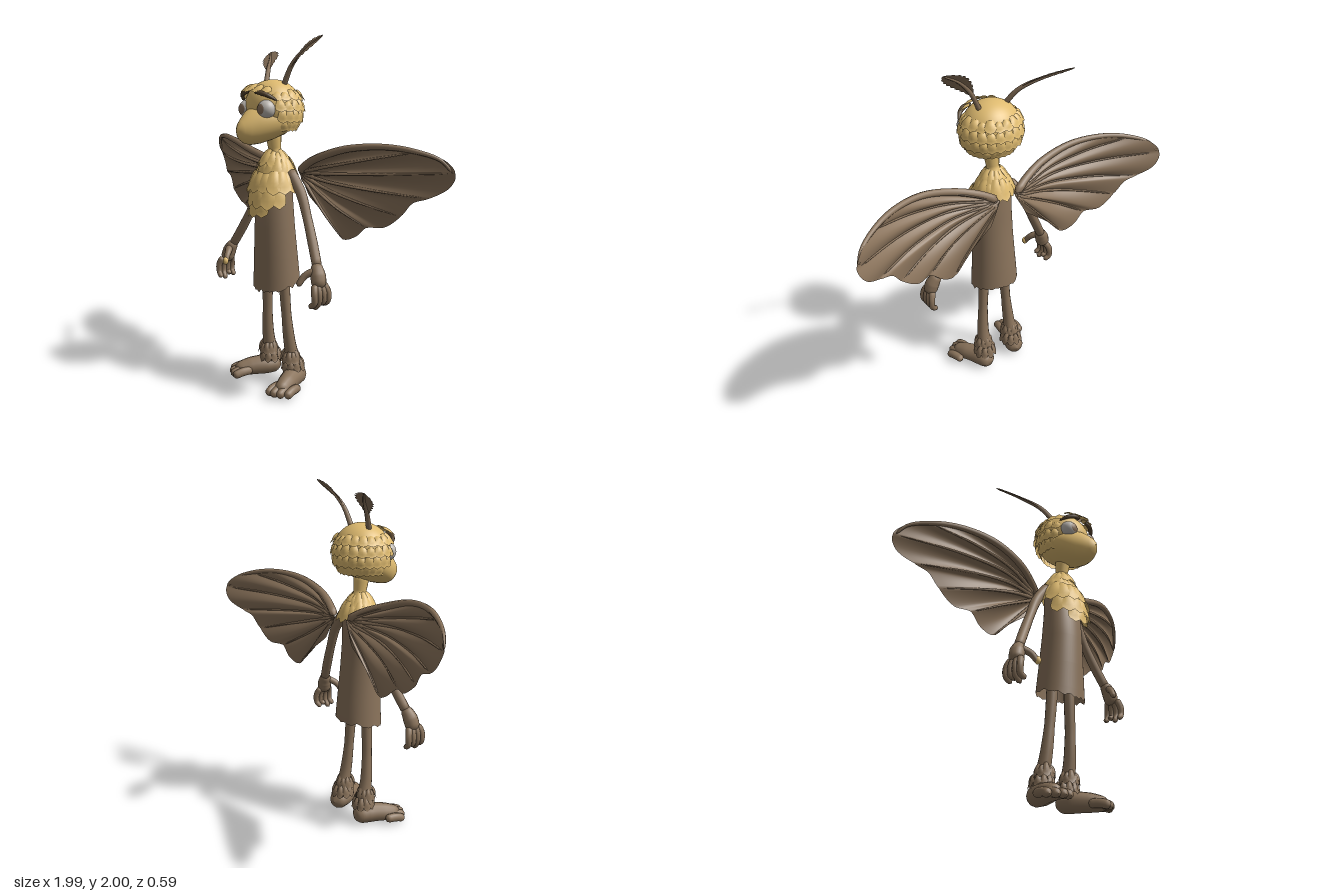
import * as THREE from 'three';
import { mergeGeometries, mergeVertices } from 'three/addons/utils/BufferGeometryUtils.js';

const V = (x, y, z) => new THREE.Vector3(x, y, z);
const mat = (name, color, side = THREE.FrontSide) => {
  const m = new THREE.MeshStandardMaterial({ color, side });
  m.name = name;
  return m;
};
const noise = (i) => { const s = Math.sin(i * 12.9898) * 43758.5453; return s - Math.floor(s); };
const curveOf = (pts) => new THREE.CatmullRomCurve3(pts.map((p) => V(...p)));

function smooth(geo) {
  geo.deleteAttribute('uv');
  geo.deleteAttribute('normal');
  const g = mergeVertices(geo, 1e-5);
  g.computeVertexNormals();
  return g;
}

// Tapered tube with rounded ends through a few points
function limb(pts, radii, n = 24, seg = 12) {
  const curve = curveOf(pts), geo = new THREE.TubeGeometry(curve, n, 1, seg);
  const len = curve.getLength(), pos = geo.attributes.position, v = V(0, 0, 0);
  for (let i = 0; i < pos.count; i++) {
    const u = Math.floor(i / (seg + 1)) / n, f = u * (radii.length - 1);
    const k = Math.min(Math.floor(f), radii.length - 2);
    let r = THREE.MathUtils.lerp(radii[k], radii[k + 1], f - k);
    const d = Math.min(u, 1 - u) * len;
    if (d < r) r *= Math.sqrt(Math.max(0.0004, 1 - (1 - d / r) ** 2));
    const c = curve.getPointAt(u);
    v.fromBufferAttribute(pos, i).sub(c).multiplyScalar(r).add(c);
    pos.setXYZ(i, v.x, v.y, v.z);
  }
  return smooth(geo);
}

// Elliptical rings from top to bottom: [y, centreZ, radiusX, radiusZ]
function loft(rows, seg = 40) {
  const geo = new THREE.CylinderGeometry(1, 1, 1, seg, rows.length - 1, true);
  const pos = geo.attributes.position;
  for (let i = 0; i < pos.count; i++) {
    const [y, cz, rx, rz] = rows[Math.floor(i / (seg + 1))];
    const a = ((i % (seg + 1)) / seg) * Math.PI * 2;
    pos.setXYZ(i, Math.sin(a) * rx, y, cz + Math.cos(a) * rz);
  }
  return geo;
}

// Pointed, cupped feather hanging down from the origin
function feather(w, l) {
  const geo = new THREE.PlaneGeometry(1, 1, 4, 6), pos = geo.attributes.position;
  for (let i = 0; i < pos.count; i++) {
    const u = pos.getX(i) * 2, v = 0.5 - pos.getY(i);
    const half = (w / 2) * (0.55 + 1.1 * v) * Math.sqrt(Math.max(0, 1 - v ** 2.5));
    pos.setXYZ(i, u * half, -v * l, 0.012 * (1 - u * u) * Math.sin(Math.PI * Math.min(1, v + 0.2)));
  }
  geo.computeVertexNormals();
  return geo;
}

// Row of feathers around an ellipse; angle 0 is the front
function featherRow({ n, y, cx = 0, cz = 0, rx, rz, len, w, flare, from = 0, to = 360 }) {
  const list = [], full = to - from === 360;
  for (let i = 0; i < n; i++) {
    const a = THREE.MathUtils.degToRad(from + ((to - from) * i) / (full ? n : n - 1));
    const out = V(Math.sin(a), 0, Math.cos(a)), j = noise(i + y * 91);
    const up = V(-out.x * flare, 1, -out.z * flare).normalize();
    const normal = out.clone().addScaledVector(up, -out.dot(up)).normalize();
    const m = new THREE.Matrix4().makeBasis(up.clone().cross(normal), up, normal);
    m.setPosition(cx + out.x * rx, y + (j - 0.5) * 0.02, cz + out.z * rz);
    list.push(feather(w, len * (0.85 + 0.3 * j)).applyMatrix4(m));
  }
  return mergeGeometries(list);
}

export function createModel() {
  const root = new THREE.Group();
  root.name = 'mothFigure';
  const brown = mat('brown', 0x8a735b, THREE.DoubleSide);
  const tan = mat('tan', 0xdfbb70, THREE.DoubleSide);
  const dark = mat('darkBrown', 0x57452f);
  const white = mat('eyeGrey', 0xbdb8b2);
  const iris = mat('iris', 0x8b725c);
  const add = (name, geo, material, parent = root) => {
    const m = new THREE.Mesh(geo, material);
    m.name = name;
    parent.add(m);
    return m;
  };

  // Torso tunic, open below, with a ragged sloping hem
  const torso = loft([[1.36, 0.02, 0.035, 0.035], [1.32, 0.01, 0.08, 0.06], [1.25, 0.01, 0.105, 0.078],
    [1.1, 0.03, 0.116, 0.1], [0.95, 0.028, 0.122, 0.112], [0.78, 0.02, 0.133, 0.122],
    [0.66, 0.016, 0.142, 0.128], [0.615, 0.015, 0.145, 0.13]], 48);
  const tp = torso.attributes.position;
  for (let i = 0; i < tp.count; i++) {
    if (tp.getY(i) < 0.7) tp.setY(i, tp.getY(i) - tp.getZ(i) * 0.22);
    if (i >= tp.count - 49) tp.setY(i, tp.getY(i) + 0.022 * (noise((i - tp.count + 49) % 48) - 0.5));
  }
  add('tunic', smooth(torso), brown);
  add('neck', limb([[0, 1.28, 0.01], [0, 1.38, 0.025], [0, 1.5, 0.04]], [0.07, 0.036, 0.05]), tan);

  // Chest ruff
  [{ n: 11, y: 1.38, cz: 0.022, rx: 0.035, rz: 0.035, len: 0.11, w: 0.055, flare: 0.8 },
    { n: 14, y: 1.335, cz: 0.015, rx: 0.075, rz: 0.065, len: 0.12, w: 0.065, flare: 0.55 },
    { n: 9, y: 1.27, cz: 0.03, rx: 0.108, rz: 0.1, len: 0.14, w: 0.08, flare: 0.48, from: -95, to: 95 },
    { n: 6, y: 1.2, cz: 0.03, rx: 0.112, rz: 0.118, len: 0.14, w: 0.08, flare: 0.33, from: -62, to: 62 },
    { n: 3, y: 1.13, cz: 0.03, rx: 0.1, rz: 0.128, len: 0.125, w: 0.08, flare: 0.28, from: -26, to: 26 },
  ].forEach((r) => add('chestRuff', featherRow(r), tan));

  // Skull and tapering muzzle
  const skull = new THREE.SphereGeometry(1, 40, 28).scale(0.168, 0.155, 0.155).translate(0, 1.62, 0.04);
  add('skull', skull, tan);
  const muzzle = loft([[0.286, -1.497, 0.002, 0.002], [0.282, -1.497, 0.018, 0.025], [0.265, -1.497, 0.042, 0.052],
    [0.235, -1.503, 0.066, 0.077], [0.2, -1.515, 0.092, 0.096], [0.15, -1.532, 0.125, 0.108],
    [0.09, -1.55, 0.148, 0.112], [0.02, -1.57, 0.155, 0.11], [-0.05, -1.58, 0.1, 0.08]]).rotateX(Math.PI / 2);
  add('muzzle', smooth(muzzle), tan);

  // Head fur in overlapping rows, leaving the face clear
  [55, 75, 95, 113].forEach((deg, k) => {
    const p = THREE.MathUtils.degToRad(deg), s = Math.sin(p);
    add('headFur', featherRow({ n: 15, y: 1.62 + 0.155 * Math.cos(p), cz: 0.04, rx: 0.166 * s, rz: 0.153 * s,
      len: 0.07, w: 0.06, flare: Math.cos(p) / s + 0.22, from: 58 + k * 5, to: 302 - k * 5 }), tan);
  });
  add('browFur', featherRow({ n: 5, y: 1.735, cz: 0.04, rx: 0.11, rz: 0.115, len: 0.075, w: 0.06,
    flare: 1.9, from: -38, to: 38 }), tan);

  // Antennae: a stem and a serrated blade, each tilted differently
  const antenna = (name, pts, across) => {
    const g = new THREE.Group();
    g.name = name;
    root.add(g);
    add('antennaStem', limb(pts, [0.016, 0.013, 0.008, 0.005], 20, 8), brown, g);
    const curve = curveOf(pts), rows = 26;
    const blade = new THREE.PlaneGeometry(1, 1, 2, rows), pos = blade.attributes.position;
    for (let i = 0; i < pos.count; i++) {
      const v = Math.floor(i / 3) / rows, u = (i % 3) - 1;
      const edge = Math.sin(Math.PI * v ** 1.35) ** 0.7 * (Math.floor(i / 3) % 3 === 0 ? 0.82 : 1);
      const c = curve.getPointAt(0.25 + 0.75 * v).addScaledVector(across, u * 0.056 * (edge || 0));
      pos.setXYZ(i, c.x, c.y, c.z);
    }
    blade.computeVertexNormals();
    add('antennaBlade', blade, brown, g);
  };
  antenna('leftAntenna', [[0.075, 1.73, 0.03], [0.14, 1.85, 0.02], [0.22, 1.93, 0], [0.33, 1.995, -0.03]],
    V(0.58, -0.5, 0.65).normalize());
  antenna('rightAntenna', [[-0.075, 1.73, 0.03], [-0.13, 1.825, -0.03], [-0.22, 1.895, -0.12], [-0.34, 1.95, -0.22]],
    V(0.098, 0.05, -0.06).normalize());

  for (const s of [1, -1]) {
    const side = s > 0 ? 'left' : 'right';
    const part = (name) => {
      const g = new THREE.Group();
      g.name = side + name;
      root.add(g);
      return g;
    };
    const m = (pts) => pts.map(([x, y, z]) => [x * s, y, z]);

    // Eyes, irises and brows
    const eye = part('Eye');
    eye.position.set(0.085 * s, 1.613, 0.15);
    eye.rotation.y = 0.3 * s;
    add('eyeball', new THREE.SphereGeometry(0.052, 28, 20), white, eye);
    add('iris', new THREE.SphereGeometry(0.0535, 24, 8, 0, Math.PI * 2, 0, 0.55).rotateX(Math.PI / 2).rotateY(-0.3 * s), iris, eye);
    add(side + 'Brow', limb(m([[0.025, 1.708, 0.19], [0.075, 1.7, 0.187], [0.115, 1.685, 0.165], [0.145, 1.66, 0.13]]),
      [0.01, 0.014, 0.012, 0.005], 16, 8), dark);
    add(side + 'Nostril', new THREE.SphereGeometry(0.005, 8, 6).translate(0.017 * s, 1.53, 0.265), dark);

    // Wing: a fan of puffed cells between veins, with a scalloped edge
    const wing = part('Wing');
    const edge = curveOf([[0.16, 1.31, 0], [0.3, 1.36, 0], [0.5, 1.415, 0], [0.7, 1.432, 0], [0.85, 1.412, 0], [0.95, 1.372, 0],
      [0.993, 1.31, 0], [0.96, 1.235, 0], [0.87, 1.175, 0], [0.79, 1.145, 0], [0.73, 1.07, 0], [0.63, 1.0, 0],
      [0.54, 0.99, 0], [0.46, 0.93, 0], [0.38, 0.905, 0], [0.28, 1.0, 0], [0.12, 1.12, 0]]);
    const lead = new THREE.SplineCurve([[0.05, -0.075], [0.2, -0.045], [0.35, -0.03], [0.5, -0.055], [0.65, -0.1],
      [0.8, -0.165], [0.95, -0.245], [1.1, -0.33]].map((p) => new THREE.Vector2(...p)));
    const cells = 8;
    const at = (t, r, puff = 1) => {
      const e = edge.getPoint(t), x = 0.05 + (e.x - 0.05) * r, y = 1.25 + (e.y - 1.25) * r;
      const z = lead.getPoint(THREE.MathUtils.clamp((x - 0.05) / 1.05, 0, 1)).y - 0.22 * Math.max(0, 1.42 - y);
      return [x * s, y, z - puff * 0.024 * Math.sin(Math.PI * Math.min(1, r * 0.85)) * Math.abs(Math.sin(cells * Math.PI * t))];
    };
    const sheet = new THREE.PlaneGeometry(1, 1, 96, 16), wp = sheet.attributes.position;
    for (let i = 0; i < wp.count; i++) wp.setXYZ(i, ...at((i % 97) / 96, Math.floor(i / 97) / 16));
    sheet.computeVertexNormals();
    add('wingMembrane', sheet, brown, wing);
    for (let k = 2; k < cells; k++) {
      add('wingVein', limb([0.05, 0.35, 0.65, 0.97].map((r) => at(k / cells, r, 0)), [0.012, 0.008, 0.004], 20, 6), brown, wing);
    }
    const rim = [at(0, 0.1, 0)];
    for (let k = 0; k <= 6; k++) rim.push(at(k / 16, 0.99, 0));
    add('wingLeadingEdge', limb(rim, [0.024, 0.022, 0.018, 0.014, 0.007], 40, 8), brown, wing);

    // Arm, hand and fingers
    const arm = part('Arm');
    add('arm', limb(m([[0.09, 1.28, 0], [0.18, 1.16, -0.01], [0.25, 1.02, 0], [0.315, 0.9, 0.02], [0.39, 0.77, 0.05]]),
      [0.032, 0.03, 0.026, 0.028, 0.027]), brown, arm);
    add('palm', limb(m([[0.37, 0.8, 0.045], [0.405, 0.74, 0.06], [0.425, 0.67, 0.07]]), [0.028, 0.042, 0.042]), brown, arm);
    for (let k = 0; k < 4; k++) {
      const z = 0.02 + 0.032 * k, tip = 0.56 + 0.015 * ((k + 1) % 3);
      add('finger', limb(m([[0.42, 0.7, 0.04 + 0.02 * k], [0.44, 0.65, z], [0.438, 0.6, z], [0.405, tip, z + 0.008]]),
        [0.02, 0.018, 0.015], 16, 10), brown, arm);
    }
    add('thumb', limb(m([[0.395, 0.765, 0.065], [0.355, 0.735, 0.11], [0.335, 0.68, 0.145]]), [0.023, 0.019, 0.016], 16, 10), brown, arm);
    if (s < 0) add('thumbTip', new THREE.SphereGeometry(0.018, 12, 8).scale(1, 1.3, 1).translate(-0.335, 0.694, 0.141), tan, arm);

    // Leg, foot, toes and furry ankle cuff
    const leg = part('Leg');
    add('leg', limb(m([[0.07, 0.8, 0.02], [0.077, 0.6, 0.018], [0.09, 0.4, 0.01], [0.1, 0.25, -0.005], [0.105, 0.07, -0.045]]),
      [0.032, 0.032, 0.029, 0.036, 0.05]), brown, leg);
    add('foot', limb(m([[0.1, 0.062, -0.1], [0.13, 0.062, 0], [0.175, 0.055, 0.09], [0.21, 0.04, 0.17]]),
      [0.055, 0.06, 0.053, 0.037]), brown, leg);
    for (let k = 0; k < 4; k++) {
      const x = 0.155 + 0.033 * k, z = 0.205 - 0.012 * k * k * 0.5;
      add('toe', limb(m([[x - 0.02, 0.045, z - 0.11], [x - 0.005, 0.042, z - 0.04], [x + 0.008, 0.025, z + 0.012]]),
        [0.024, 0.026, 0.024], 14, 10), brown, leg);
    }
    [[0.215, -0.008, 0.034], [0.165, -0.025, 0.045]].forEach(([y, cz, r]) => add('ankleFur',
      featherRow({ n: 10, y, cx: 0.103 * s, cz, rx: r, rz: r, len: 0.075, w: 0.04, flare: 0.4 }), brown, leg));
  }
  return root;
}
